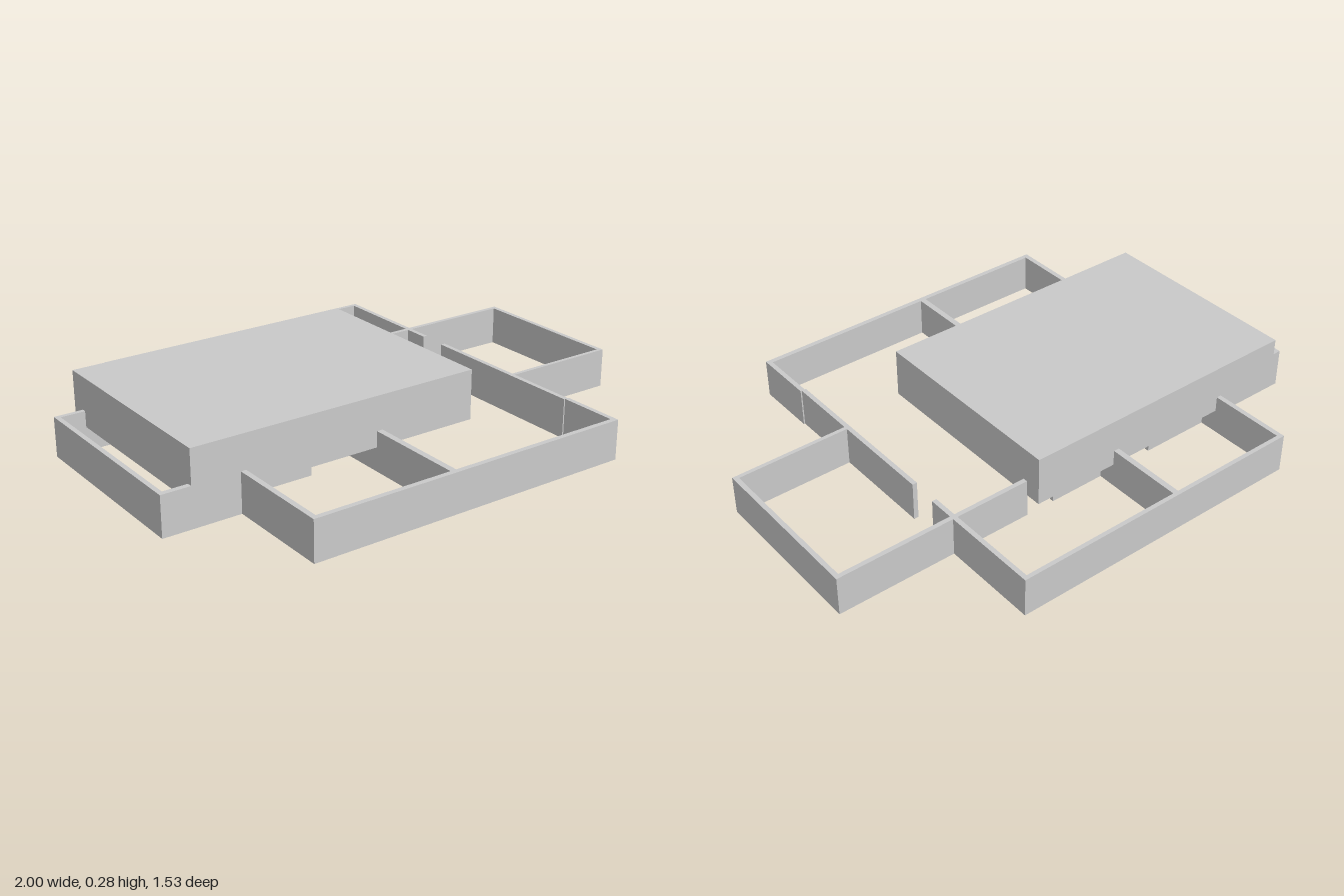
import * as THREE from 'three';

const WALL_HEIGHT = 0.15;

export function createModel() {
  const model = new THREE.Group();
  const material = new THREE.MeshStandardMaterial({ color: 0xcccccc, flatShading: true });

  // Box given by its plan extents and heights
  function block(name, x0, x1, z0, z1, y0 = 0, y1 = WALL_HEIGHT) {
    const mesh = new THREE.Mesh(new THREE.BoxGeometry(x1 - x0, y1 - y0, z1 - z0), material);
    mesh.position.set((x0 + x1) / 2, (y0 + y1) / 2, (z0 + z1) / 2);
    mesh.name = name;
    model.add(mesh);
  }

  // Roof over the middle rooms: a thin lid, open below, whose skirt drops past the wall tops
  const [left, right, back, front] = [-0.89, 0.238, -0.457, 0.355];
  const [skirtBottom, ceiling, roofTop, skin] = [0.09, 0.272, 0.278, 0.006];
  block('roofTop', left, right, back, front, ceiling, roofTop);
  block('roofSkirtFront', left, right, front - skin, front, skirtBottom, ceiling);
  block('roofSkirtBack', left, right, back, back + skin, skirtBottom, ceiling);
  block('roofSkirtRight', left, left + skin, back + skin, front - skin, skirtBottom, ceiling);
  block('roofSkirtLeft', right - skin, right, back + skin, front - skin, skirtBottom, ceiling);

  // Walls running along x: name, start, end, z range
  const wallsAlongX = [
    ['backWall', -0.62, 0.548, -0.765, -0.749],
    ['frontWall', -0.71, 0.553, 0.743, 0.762],
    ['rearCorridorWallRight', -1, -0.33, -0.395, -0.378],
    ['rearCorridorWallMiddle', -0.12, 0.12, -0.395, -0.378],
    ['rearCorridorWallLeft', 0.235, 1, -0.395, -0.378],
    ['sideRoomFrontWall', 0.53, 1, 0.225, 0.24],
    ['westRoomFrontWall', -1, -0.69, 0.335, 0.355],
    ['innerStubWall', -0.56, -0.37, 0.23, 0.25],
  ];

  // Walls running along z: name, x range, start, end
  const wallsAlongZ = [
    ['backRoomRightWall', -0.62, -0.601, -0.749, -0.378],
    ['backRoomDivider', -0.122, -0.1, -0.749, -0.378],
    ['backRoomLeftWall', 0.53, 0.548, -0.749, -0.28],
    ['leftLongWallRear', 0.53, 0.548, -0.17, 0.52],
    ['leftLongWallFront', 0.535, 0.553, 0.52, 0.743],
    ['sideRoomOuterWall', 0.982, 1, -0.378, 0.225],
    ['westOuterWall', -1, -0.982, -0.378, 0.335],
    ['frontRoomRightWall', -0.71, -0.69, 0.18, 0.743],
    ['frontRoomDivider', -0.173, -0.15, -0.14, 0.743],
    ['innerShortWall', -0.435, -0.415, -0.1, 0.02],
  ];

  [...wallsAlongX, ...wallsAlongZ].forEach((wall) => block(...wall));
  return model;
}
